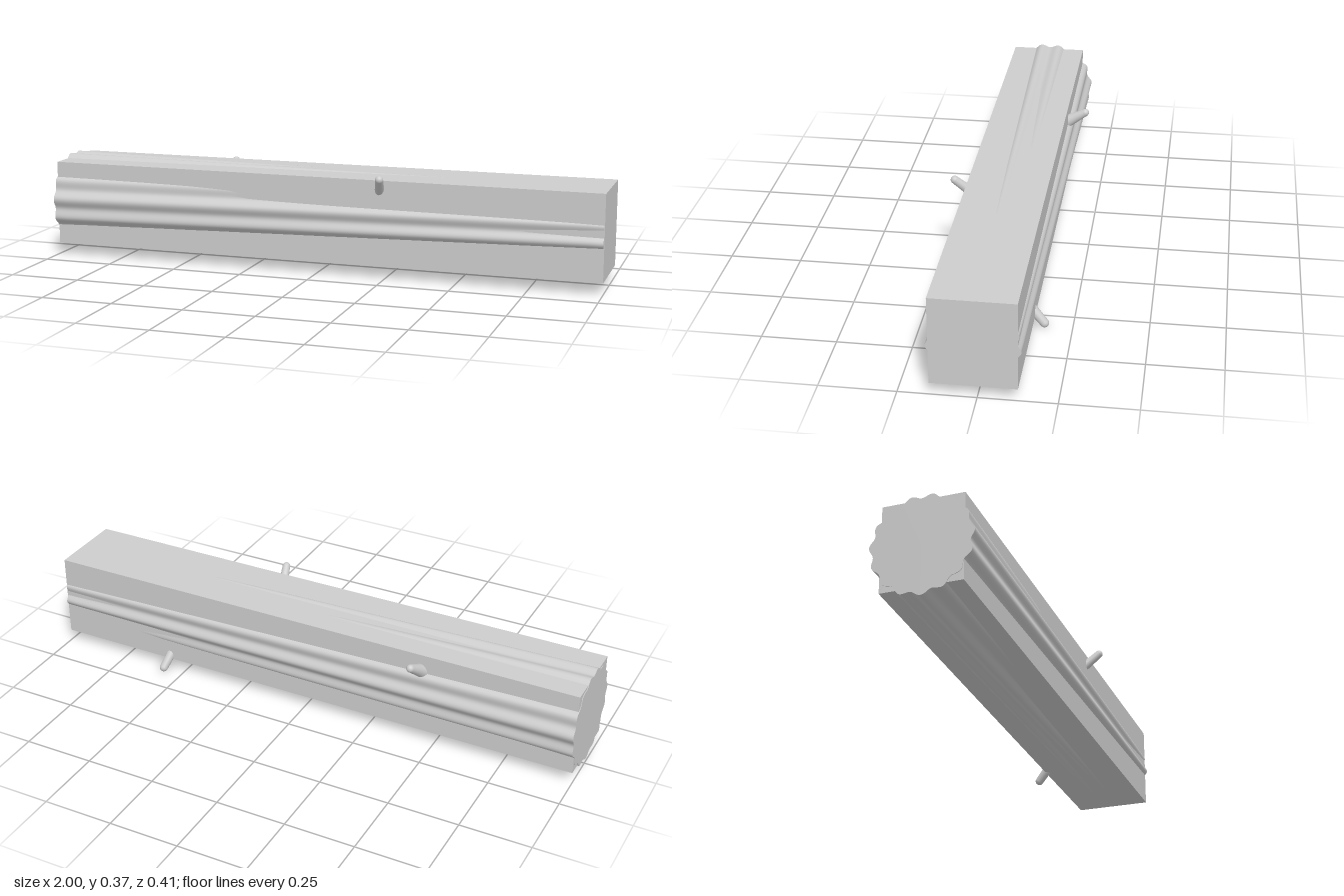
import * as THREE from 'three';

const CENTER_Y = 0.19, CENTER_Z = 0.01;
const SIDES = 180, RINGS = 40, RIDGES = 15;

// Point on the ridged, slightly twisted and tapering log surface
function logPoint(x, a) {
  const t = (x + 1) / 2;
  const ridge = Math.cos(RIDGES * (a - 0.12 - 0.2 * t));
  const drift = Math.sin(3 * a + 2.2 * t) * 0.0015;
  const r = THREE.MathUtils.lerp(0.168, 0.142, t) + 0.0065 * ridge + drift;
  return [x, CENTER_Y + r * Math.sin(a), CENTER_Z + r * Math.cos(a)];
}

function indexed(positions, index) {
  const g = new THREE.BufferGeometry();
  g.setAttribute('position', new THREE.Float32BufferAttribute(positions, 3));
  g.setIndex(index);
  g.computeVertexNormals();
  return g;
}

function barkGeometry() {
  const positions = [], index = [];
  for (let i = 0; i <= RINGS; i++) {
    const x = -1 + (1.998 * i) / RINGS;
    for (let j = 0; j < SIDES; j++) positions.push(...logPoint(x, (j / SIDES) * Math.PI * 2));
  }
  for (let i = 0; i < RINGS; i++) {
    for (let j = 0; j < SIDES; j++) {
      const k = (j + 1) % SIDES;
      const a = i * SIDES + j, b = i * SIDES + k;
      index.push(a, a + SIDES, b, b, a + SIDES, b + SIDES);
    }
  }
  return indexed(positions, index);
}

// Flat end of the log
function endGeometry(x, flip) {
  const positions = [x, CENTER_Y, CENTER_Z], index = [];
  for (let j = 0; j < SIDES; j++) {
    positions.push(...logPoint(x, (j / SIDES) * Math.PI * 2));
    const a = 1 + j, b = 1 + ((j + 1) % SIDES);
    index.push(0, flip ? b : a, flip ? a : b);
  }
  return indexed(positions, index);
}

// Rounded twig with a flared root, running between two points
function twig(from, to, rootRadius, tipRadius, material) {
  const start = new THREE.Vector3(...from);
  const dir = new THREE.Vector3(...to).sub(start);
  const length = dir.length();
  const points = [
    new THREE.Vector2(rootRadius, 0),
    new THREE.Vector2(THREE.MathUtils.lerp(rootRadius, tipRadius, 0.55), length * 0.3),
    new THREE.Vector2(THREE.MathUtils.lerp(rootRadius, tipRadius, 0.8), length * 0.6),
  ];
  for (let i = 0; i <= 6; i++) {
    const a = (i / 6) * Math.PI / 2;
    points.push(new THREE.Vector2(i === 6 ? 0 : tipRadius * Math.cos(a), length - tipRadius + tipRadius * Math.sin(a)));
  }
  const mesh = new THREE.Mesh(new THREE.LatheGeometry(points, 20), material);
  mesh.position.copy(start);
  mesh.quaternion.setFromUnitVectors(new THREE.Vector3(0, 1, 0), dir.normalize());
  mesh.name = 'twig';
  return mesh;
}

export function createModel() {
  const group = new THREE.Group();
  group.name = 'logBeam';
  const grey = new THREE.MeshStandardMaterial({ color: 0xcccccc });
  grey.name = 'pale grey';

  const add = (geometry, name) => {
    const mesh = new THREE.Mesh(geometry, grey);
    mesh.name = name;
    group.add(mesh);
    return mesh;
  };

  // Square beam around the log
  add(new THREE.BoxGeometry(1.998, 0.302, 0.276), 'beam').position.set(0.001, 0.194, 0.012);

  // Ridged log
  add(barkGeometry(), 'bark');
  add(endGeometry(-1, false), 'wideEnd');
  add(endGeometry(0.998, true), 'narrowEnd');

  // Twig stubs
  group.add(
    twig([0.22, 0.285, 0.115], [0.242, 0.364, 0.202], 0.02, 0.014, grey),
    twig([-0.445, 0.265, -0.095], [-0.428, 0.334, -0.202], 0.034, 0.014, grey),
    twig([0.55, 0.1, -0.08], [0.573, 0.006, -0.167], 0.02, 0.015, grey),
  );
  return group;
}
